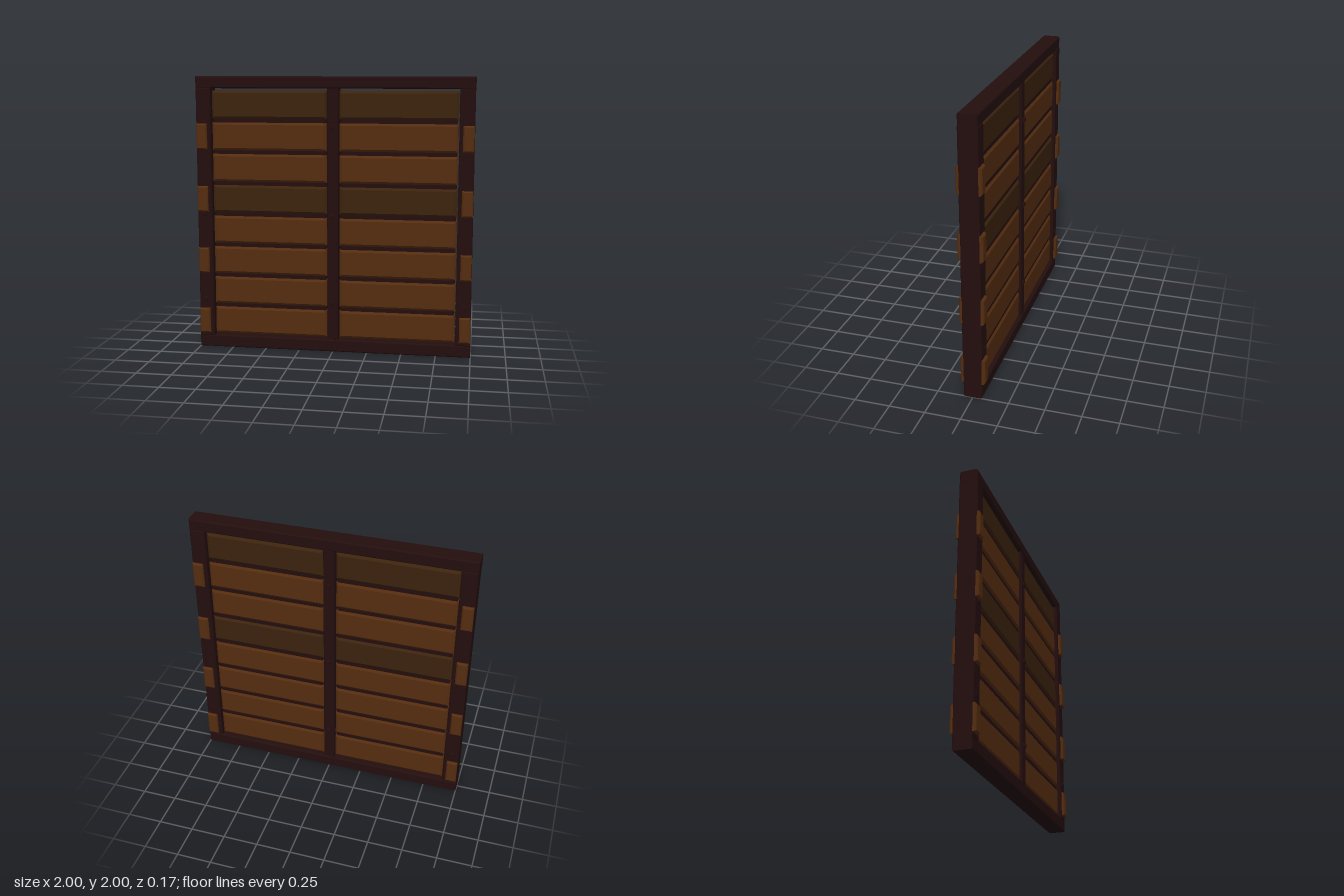
import * as THREE from 'three';

export function createModel() {
  const mat = (name, color) => {
    const m = new THREE.MeshStandardMaterial({ color });
    m.name = name;
    return m;
  };
  const frameWood = mat('dark frame wood', 0x240e0e);
  const plankWood = mat('warm plank wood', 0x552d10);
  const agedWood = mat('aged plank wood', 0x3c230e);

  const model = new THREE.Group();
  model.name = 'plankPanel';

  // Block with chamfered front and back edges, centred on z = 0
  function block(name, material, [x0, x1], [y0, y1], halfDepth, bevel, bevelDepth = bevel) {
    const shape = new THREE.Shape();
    shape.moveTo(x0 + bevel, y0 + bevel);
    shape.lineTo(x1 - bevel, y0 + bevel);
    shape.lineTo(x1 - bevel, y1 - bevel);
    shape.lineTo(x0 + bevel, y1 - bevel);
    shape.closePath();
    const depth = 2 * (halfDepth - bevelDepth);
    const geometry = new THREE.ExtrudeGeometry(shape, {
      depth, bevelEnabled: true, bevelSegments: 1, bevelSize: bevel, bevelThickness: bevelDepth,
    });
    geometry.translate(0, 0, -depth / 2);
    const mesh = new THREE.Mesh(geometry, material);
    mesh.name = name;
    model.add(mesh);
  }
  // x range mirrored to the given side
  const span = (side, a, b) => (side > 0 ? [a, b] : [-b, -a]);

  // Frame rails and centre post
  block('topRail', frameWood, [-1, 1], [1.915, 2], 0.065, 0.008);
  block('bottomRail', frameWood, [-1, 1], [0, 0.09], 0.065, 0.008);
  block('centrePost', frameWood, [-0.04, 0.04], [0.085, 1.92], 0.06, 0.006);

  const pitch = 0.2279;
  for (const side of [1, -1]) {
    block('sidePost', frameWood, span(side, 0.89, 0.998), [0.085, 1.92], 0.067, 0.006);

    for (let row = 0; row < 8; row++) {
      const y = 0.203 + row * pitch;
      // Horizontal planks, with two aged rows
      const wood = row === 4 || row === 7 ? agedWood : plankWood;
      block('plank', wood, span(side, 0.046, 0.884), [y - 0.1, y + 0.1], 0.048, 0.016, 0.012);
      // Dark battens closing the gaps between planks
      if (row < 7) {
        const gap = y + pitch / 2;
        block('batten', frameWood, span(side, 0.053, 0.878), [gap - 0.024, gap + 0.024], 0.036, 0.004);
      }
      // Clamp blocks on the side posts, every second row
      if (row % 2 === 0) {
        block('clampBlock', plankWood, span(side, 0.917, 0.996), [y - 0.093, y + 0.093], 0.086, 0.01);
      }
    }
  }

  // Square pegs on the three posts
  for (const x of [-0.947, 0, 0.947]) {
    for (const y of [0.365, 1.005, 1.645]) {
      block('peg', frameWood, [x - 0.015, x + 0.015], [y - 0.015, y + 0.015], 0.075, 0.004);
    }
  }
  return model;
}
